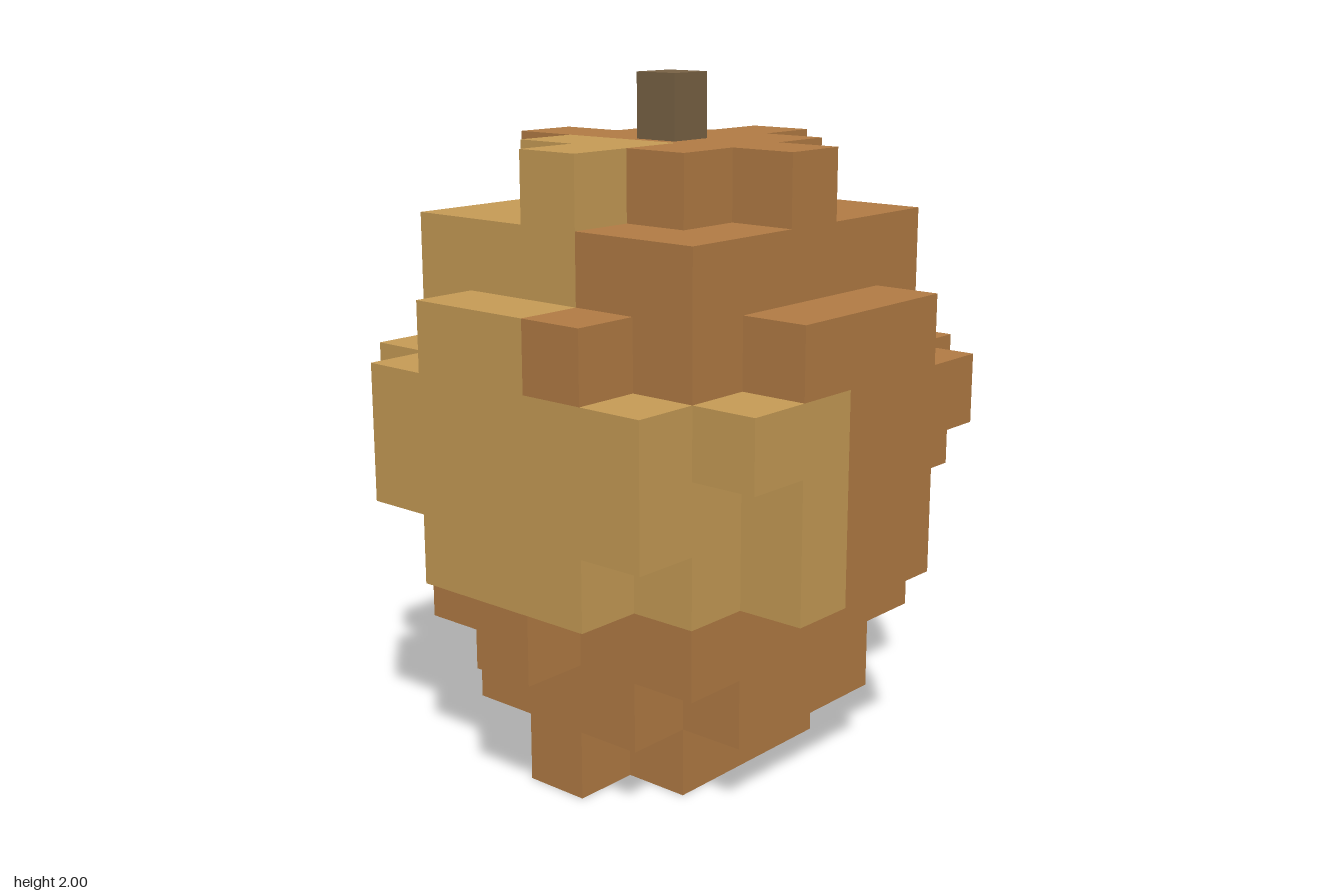
import * as THREE from 'three';
import { mergeGeometries } from 'three/addons/utils/BufferGeometryUtils.js';

const CELL = 0.2015;

// Half-width in cells along x for |z| = 0, 1, 2, 3, one row per layer from the bottom up
const LAYERS = [
  [2, 1],
  [2, 2, 1],
  [3, 2, 2],
  [3, 3, 2, 1],
  [3, 3, 3, 1],
  [3, 3, 3, 2],
  [3, 3, 2, 1],
  [2, 2, 2],
  [2, 1, 0],
];

const isFilled = (x, y, z) => Math.abs(x) <= (LAYERS[y]?.[Math.abs(z)] ?? -1);

// Pale patches, as blocks of three cells: column (x), storey (y), depth (z)
const PALE_BLOCKS = new Set(['0,1,0', '0,1,1', '0,1,2', '0,2,0', '0,2,1', '1,0,1', '1,1,0', '1,1,1', '2,0,1']);

const isPale = (x, y, z) =>
  PALE_BLOCKS.has([Math.floor((x + 3) / 3), Math.floor(y / 3), Math.floor((z + 5) / 3)].join(','));

const DIRECTIONS = [[1, 0, 0], [-1, 0, 0], [0, 1, 0], [0, -1, 0], [0, 0, 1], [0, 0, -1]];

// One square cell face looking along a direction
function cellFace(x, y, z, [dx, dy, dz]) {
  const face = new THREE.PlaneGeometry(CELL, CELL);
  if (dy) face.rotateX(-dy * Math.PI / 2);
  else face.rotateY(Math.atan2(dx, dz));
  return face.translate((x + dx / 2) * CELL, (y + 0.5 + dy / 2) * CELL, (z + dz / 2) * CELL);
}

function material(name, color) {
  const m = new THREE.MeshStandardMaterial({ color });
  m.name = name;
  return m;
}

export function createModel() {
  const group = new THREE.Group();
  group.name = 'blockFruit';

  const add = (name, geometry, mat) => {
    const mesh = new THREE.Mesh(geometry, mat);
    mesh.name = name;
    group.add(mesh);
    return mesh;
  };

  // Outer skin of the stepped body, sorted by colour
  const brownFaces = [], paleFaces = [];
  for (let y = 0; y < LAYERS.length; y++)
    for (let x = -3; x <= 3; x++)
      for (let z = -3; z <= 3; z++) {
        if (!isFilled(x, y, z)) continue;
        const faces = isPale(x, y, z) ? paleFaces : brownFaces;
        for (const d of DIRECTIONS)
          if (!isFilled(x + d[0], y + d[1], z + d[2])) faces.push(cellFace(x, y, z, d));
      }
  add('bodySkin', mergeGeometries(brownFaces), material('warmBrown', 0xb47d45));
  add('paleSkinPatches', mergeGeometries(paleFaces), material('paleTan', 0xc99e57));

  // Stem on top
  const top = LAYERS.length * CELL;
  const stem = add('stem', new THREE.BoxGeometry(0.14, 2 - top, 0.14), material('stemBrown', 0x7a6345));
  stem.position.y = (2 + top) / 2;

  return group;
}
